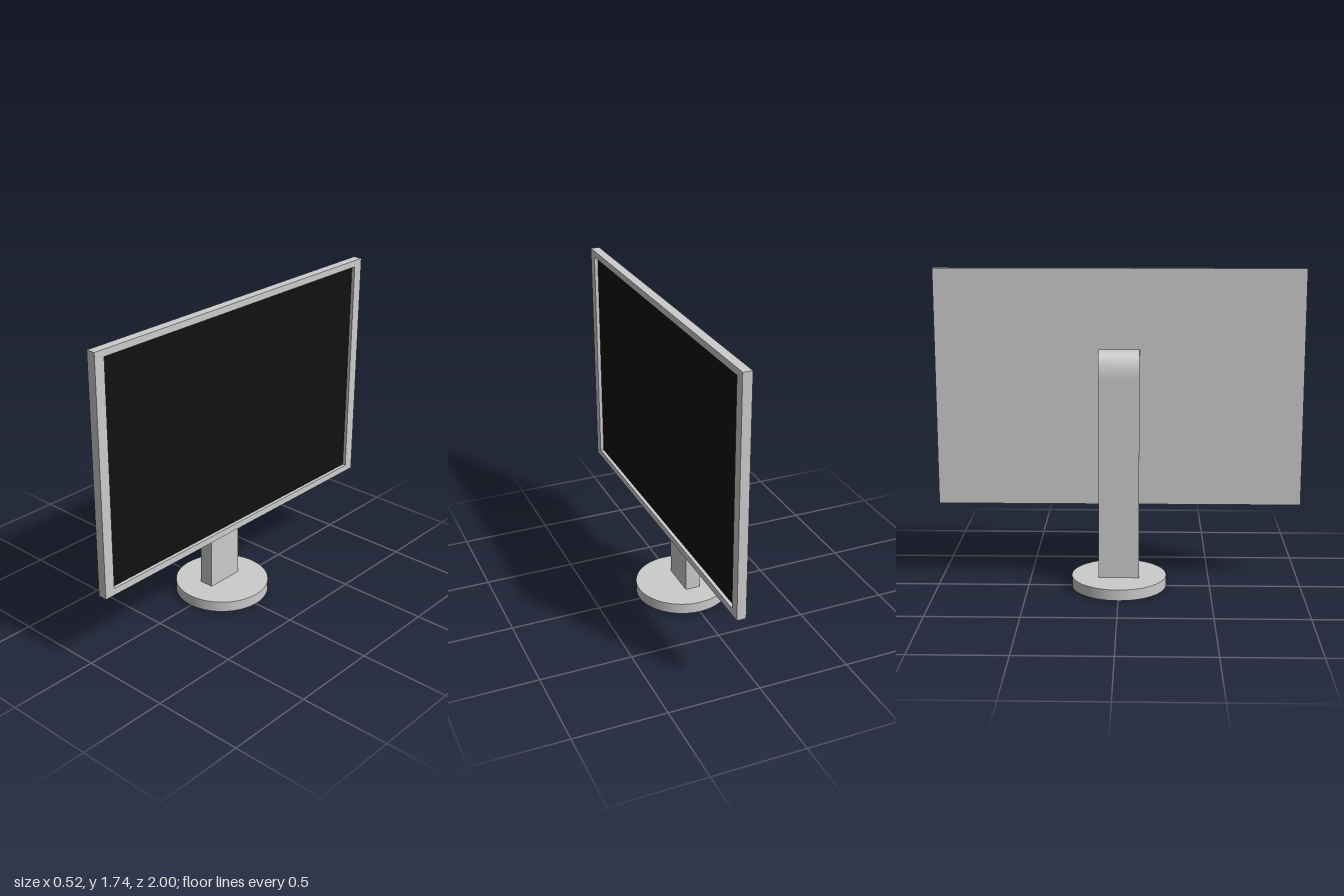
import * as THREE from 'three';

const grey = new THREE.MeshStandardMaterial({ color: 0xcccccc });
const black = new THREE.MeshStandardMaterial({ color: 0x111111 });

export function createModel() {
  const model = new THREE.Group();
  const add = (name, geometry, material, x, y, z) => {
    const mesh = new THREE.Mesh(geometry, material);
    mesh.name = name;
    mesh.position.set(x, y, z);
    model.add(mesh);
    return mesh;
  };

  // Panel dimensions; the display faces +x
  const bottom = 0.443, top = 1.742, back = 0.088, front = 0.138, recess = 0.02;
  const openBottom = 0.48, openTop = 1.706, openHalf = 0.942;

  // Rear casing slab
  const slab = front - recess - back;
  add('rearCasing', new THREE.BoxGeometry(slab, top - bottom, 2), grey,
    back + slab / 2, (top + bottom) / 2, 0);

  // Bezel: a rectangular ring extruded towards the front
  const ring = new THREE.Shape([
    new THREE.Vector2(-1, bottom), new THREE.Vector2(1, bottom),
    new THREE.Vector2(1, top), new THREE.Vector2(-1, top),
  ]);
  ring.holes.push(new THREE.Path([
    new THREE.Vector2(-openHalf, openBottom), new THREE.Vector2(-openHalf, openTop),
    new THREE.Vector2(openHalf, openTop), new THREE.Vector2(openHalf, openBottom),
  ]));
  const bezel = new THREE.ExtrudeGeometry(ring, { depth: recess, bevelEnabled: false });
  add('bezel', bezel.rotateY(Math.PI / 2), grey, front - recess, 0, 0);

  // Recessed display
  const screen = new THREE.PlaneGeometry(2 * openHalf, openTop - openBottom);
  add('screen', screen.rotateY(Math.PI / 2), black,
    front - recess + 0.001, (openTop + openBottom) / 2, 0);

  // Stand: column with a rounded shoulder and an arm to the panel
  const halfWidth = 0.11;
  const profile = new THREE.Shape();
  profile.moveTo(-0.06, 0);
  profile.lineTo(0.022, 0);
  profile.lineTo(0.022, 1.163);
  profile.lineTo(back, 1.163);
  profile.lineTo(back, 1.308);
  profile.lineTo(0.01, 1.308);
  profile.absellipse(0.01, 1.168, 0.07, 0.14, Math.PI / 2, Math.PI, false);
  profile.lineTo(-0.06, 0);
  add('stand', new THREE.ExtrudeGeometry(profile,
    { depth: 2 * halfWidth, bevelEnabled: false, curveSegments: 16 }), grey, 0, 0, -halfWidth);

  // Round foot
  add('base', new THREE.CylinderGeometry(0.26, 0.26, 0.06, 64), grey, 0, 0.035, 0);

  return model;
}
